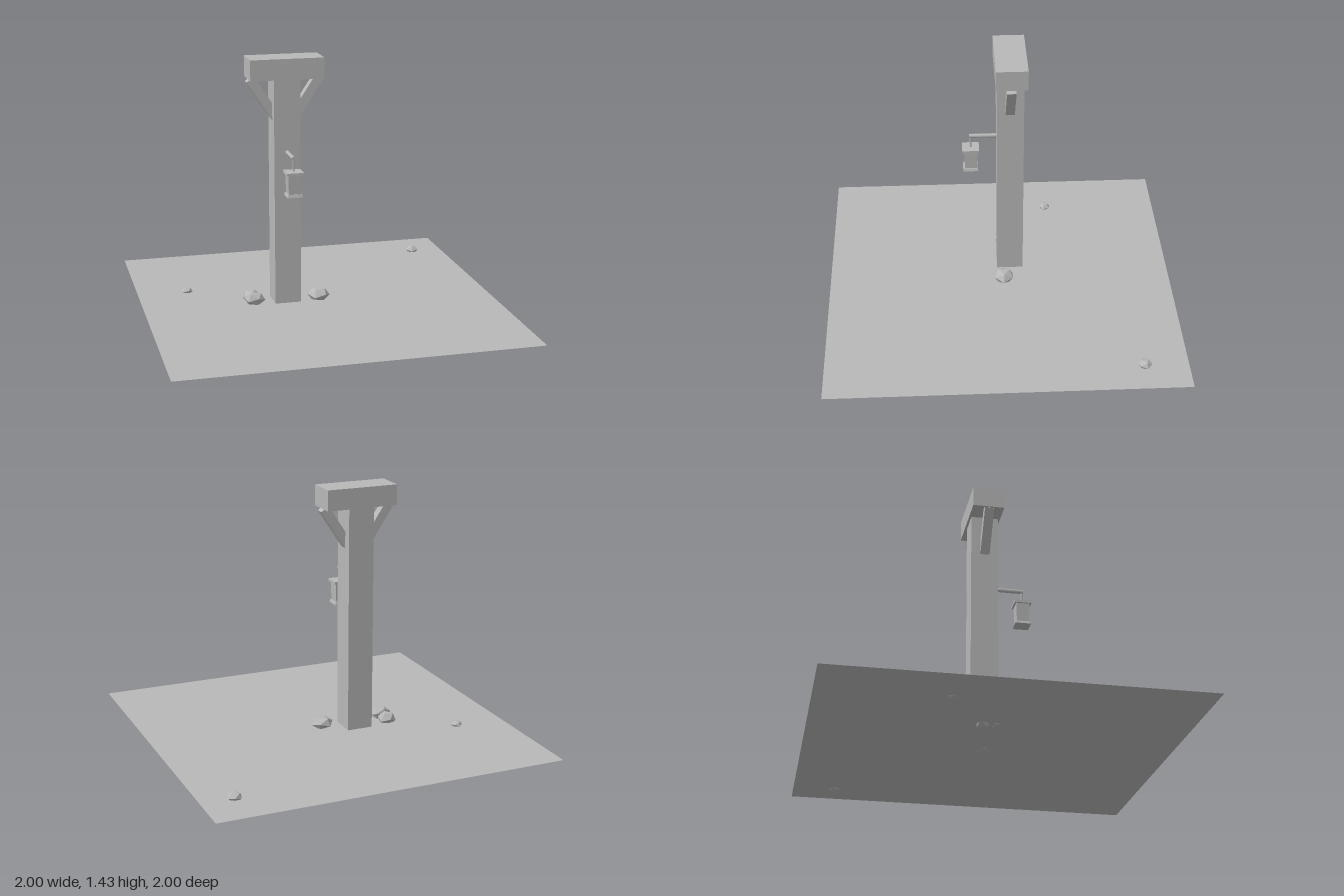
import * as THREE from 'three';

const stone = new THREE.MeshStandardMaterial({ color: 0xb8b8b8 });
stone.name = 'plain grey';
const groundGrey = new THREE.MeshStandardMaterial({ color: 0xb8b8b8, side: THREE.DoubleSide });
groundGrey.name = 'ground grey';

export function createModel() {
  const model = new THREE.Group();
  model.name = 'lanternPost';

  const add = (name, geometry, x, y, z, material = stone) => {
    const mesh = new THREE.Mesh(geometry, material);
    mesh.name = name;
    mesh.position.set(x, y, z);
    model.add(mesh);
    return mesh;
  };
  // Box given by its limits on each axis
  const block = (name, x0, x1, y0, y1, z0, z1) => add(name,
    new THREE.BoxGeometry(x1 - x0, y1 - y0, z1 - z0),
    (x0 + x1) / 2, (y0 + y1) / 2, (z0 + z1) / 2);

  // Ground sheet
  add('ground', new THREE.PlaneGeometry(2, 2).rotateX(-Math.PI / 2), 0, 0.025, 0, groundGrey);

  // Post and cross beam
  const postX = -0.177;
  block('post', -0.252, -0.102, 0.025, 1.33, -0.14, 0.012);
  block('beam', -0.386, 0.032, 1.325, 1.442, -0.153, 0.024);

  // Diagonal braces, mirrored about the post
  for (const side of [-1, 1]) {
    const brace = add(side < 0 ? 'rightBrace' : 'leftBrace',
      new THREE.BoxGeometry(0.052, 0.29, 0.052), postX + side * 0.117, 1.203, -0.062);
    brace.rotation.z = -side * 0.583;
  }

  // Bracket holding the lantern
  const lampX = -0.178, lampZ = 0.16;
  add('bracketArm', new THREE.CylinderGeometry(0.012, 0.012, 0.165, 8).rotateX(Math.PI / 2),
    lampX, 0.913, 0.085);
  add('bracketHook', new THREE.CylinderGeometry(0.006, 0.006, 0.075, 8), lampX, 0.872, lampZ);

  // Square lantern: cap, tapered body, flared foot
  const tier = (name, top, bottom, y0, y1) => add(name,
    new THREE.CylinderGeometry(top * Math.SQRT1_2, bottom * Math.SQRT1_2, y1 - y0, 4)
      .rotateY(Math.PI / 4).toNonIndexed(), lampX, (y0 + y1) / 2, lampZ).geometry.computeVertexNormals();
  tier('lanternCap', 0.096, 0.096, 0.825, 0.84);
  tier('lanternBody', 0.076, 0.068, 0.715, 0.826);
  tier('lanternFoot', 0.078, 0.088, 0.7, 0.716);

  // Rocks: position, half sizes, turn
  const rocks = [
    [-0.366, 0.052, -0.02, 0.062, 0.041, 0.04, 0.3],
    [-0.37, 0.043, -0.095, 0.055, 0.043, 0.048, 1.1],
    [0.01, 0.05, -0.022, 0.066, 0.04, 0.062, 0.5],
    [-0.712, 0.034, -0.315, 0.034, 0.021, 0.034, 0.2],
    [0.813, 0.035, -0.757, 0.041, 0.027, 0.041, 0.8],
  ];
  rocks.forEach(([x, y, z, sx, sy, sz, turn], i) => {
    const shape = new THREE.IcosahedronGeometry(1, 0).rotateX(0.3).rotateY(turn).scale(sx, sy, sz);
    shape.computeVertexNormals();
    add('rock' + (i + 1), shape, x, y, z);
  });

  return model;
}
